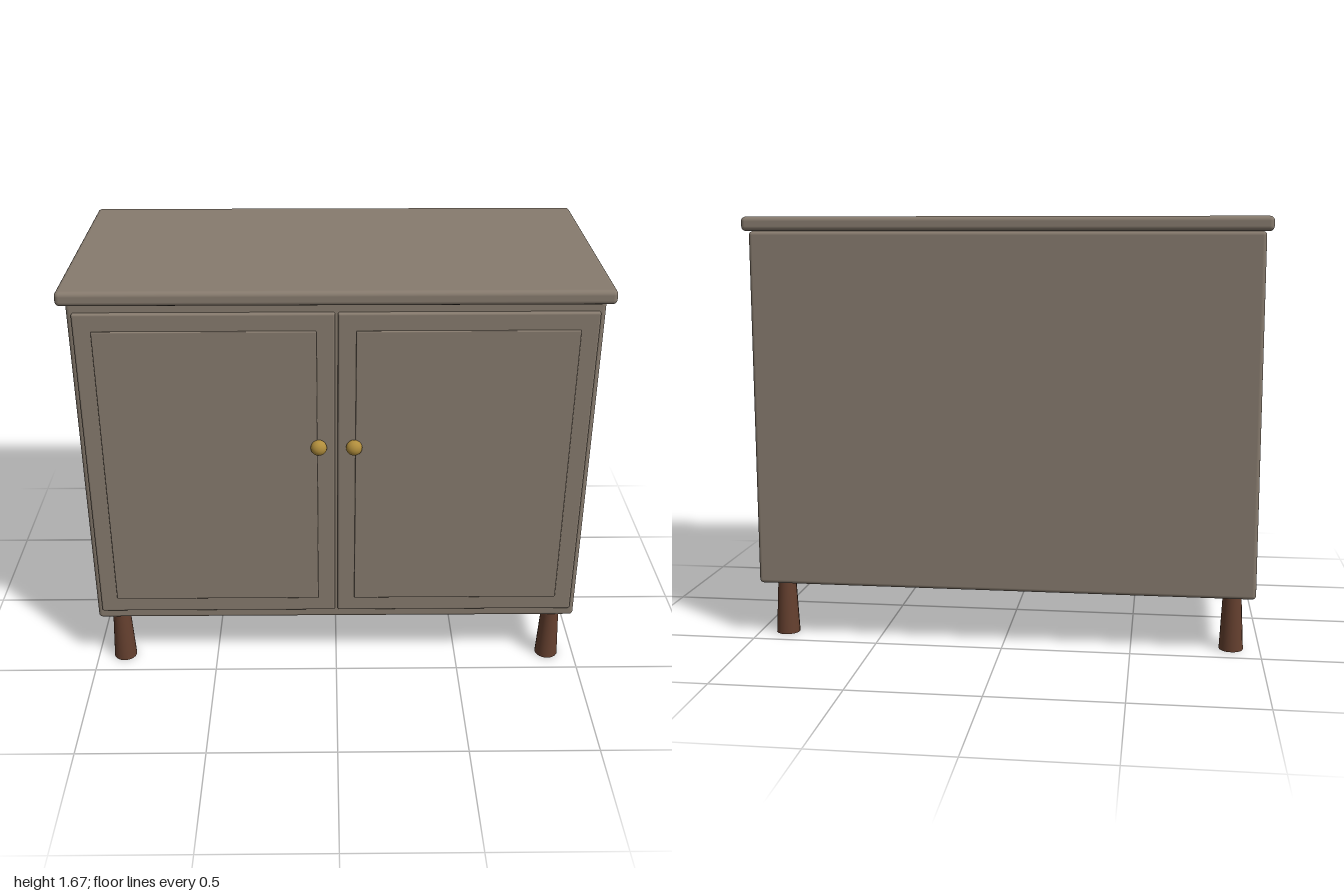
import * as THREE from 'three';
import { RoundedBoxGeometry } from 'three/addons/geometries/RoundedBoxGeometry.js';

const paint = new THREE.MeshStandardMaterial({ color: 0x877b6e });
const wood = new THREE.MeshStandardMaterial({ color: 0x65402f });
const brass = new THREE.MeshStandardMaterial({ color: 0xb08d3c });

// Rounded box given by its lower and upper corners
function slab(name, [x0, y0, z0], [x1, y1, z1], radius) {
  const geometry = new RoundedBoxGeometry(x1 - x0, y1 - y0, z1 - z0, 3, radius);
  const mesh = new THREE.Mesh(geometry, paint);
  mesh.position.set((x0 + x1) / 2, (y0 + y1) / 2, (z0 + z1) / 2);
  mesh.name = name;
  return mesh;
}

export function createModel() {
  const cabinet = new THREE.Group();
  cabinet.name = 'cabinet';

  // Carcass and overhanging top
  cabinet.add(slab('body', [-0.975, 0.225, -0.485], [0.975, 1.612, 0.445], 0.015));
  cabinet.add(slab('top', [-1, 1.612, -0.5], [1, 1.667, 0.5], 0.018));

  const legGeometry = new THREE.CylinderGeometry(0.035, 0.047, 0.235, 16);
  const knobGeometry = new THREE.SphereGeometry(0.031, 24, 16);

  for (const side of [-1, 1]) {
    const label = side > 0 ? 'left' : 'right';

    // Door with raised panel and knob
    const door = new THREE.Group();
    door.name = `${label}Door`;
    const leaf = slab('doorLeaf', [0.005, 0.27, 0.425], [0.955, 1.57, 0.461], 0.008);
    const panel = slab('doorPanel', [0.072, 0.335, 0.445], [0.888, 1.503, 0.469], 0.004);
    const knob = new THREE.Mesh(knobGeometry, brass);
    knob.name = 'knob';
    knob.scale.z = 0.85;
    knob.position.set(0.067, 1.03, 0.474);
    for (const part of [leaf, panel, knob]) {
      part.position.x *= side;
      door.add(part);
    }
    cabinet.add(door);

    // Legs flaring towards the floor
    for (const end of [-1, 1]) {
      const leg = new THREE.Mesh(legGeometry, wood);
      leg.name = `${label}${end > 0 ? 'Front' : 'Back'}Leg`;
      leg.position.set(side * 0.89, 0.1175, end * 0.39);
      cabinet.add(leg);
    }
  }
  return cabinet;
}
